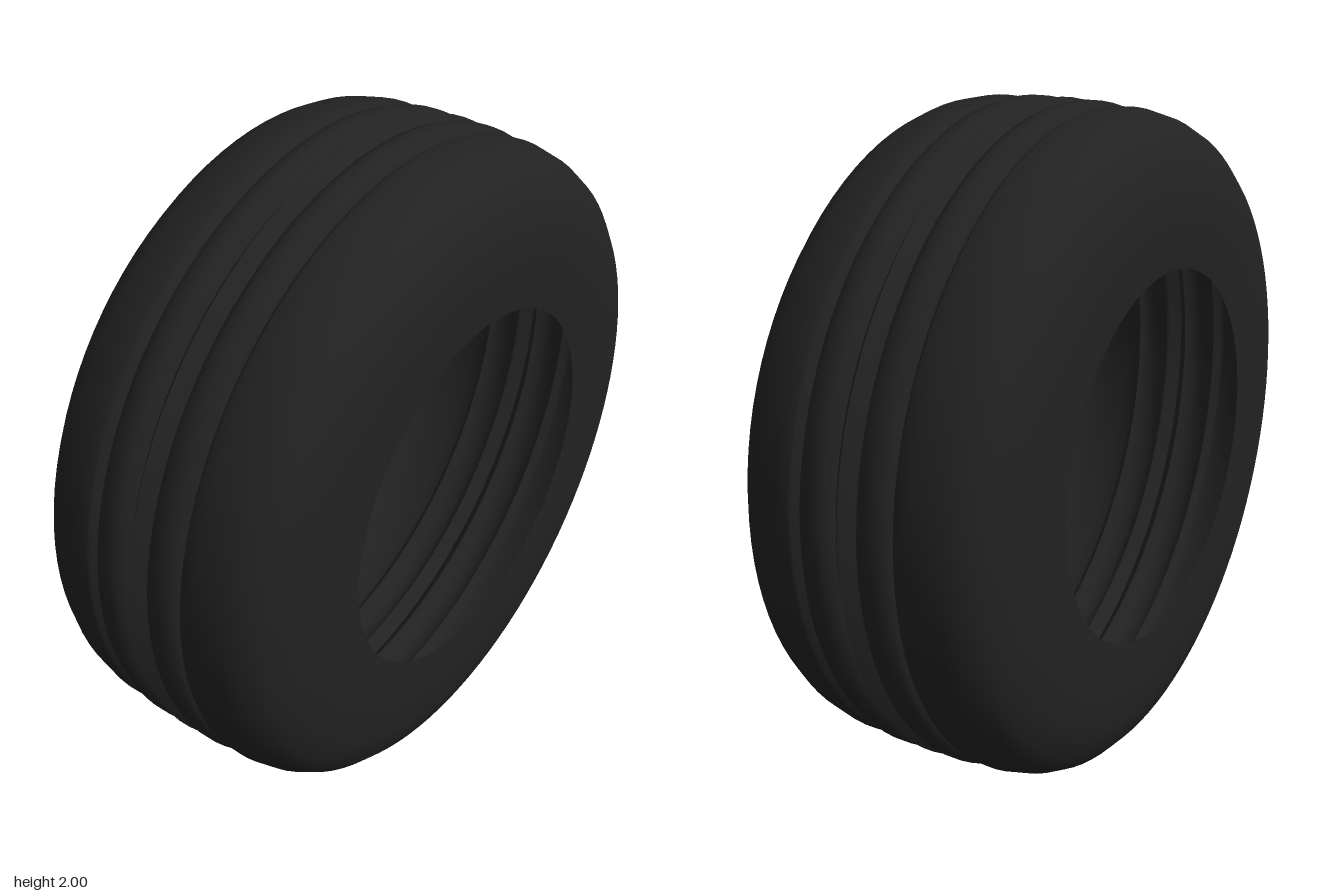
import * as THREE from 'three';

export function createModel() {
  const group = new THREE.Group();
  group.name = 'tire';

  const rubber = new THREE.MeshStandardMaterial({ color: 0x222222, side: THREE.DoubleSide });
  rubber.name = 'black rubber';

  // Half cross-sections as [distance from centre plane, radius]
  const sidewall = [
    [0.41, 0.555], [0.412, 0.6], [0.41, 0.7], [0.4, 0.82], [0.37, 0.905],
    [0.33, 0.95], [0.28, 0.975], [0.21, 0.99], [0.17, 0.988], [0.16, 0.983], [0.143, 0.96],
  ];
  const rib = [
    [0.143, 0.96], [0.138, 0.975], [0.125, 0.99], [0.1, 0.998], [0.075, 0.998],
    [0.053, 0.99], [0.04, 0.97], [0.035, 0.958],
  ];
  const centreRidge = [[0.035, 0.958], [0.026, 0.963], [0.022, 0.975], [0, 1]];

  // Revolves an open profile about the axle (x)
  function ring(name, profile) {
    const points = profile.map(([x, r]) => new THREE.Vector2(r, x));
    const geometry = new THREE.LatheGeometry(points, 96);
    geometry.rotateZ(-Math.PI / 2);
    const mesh = new THREE.Mesh(geometry, rubber);
    mesh.name = name;
    mesh.position.y = 1;
    group.add(mesh);
  }

  // Profiles run from -x to +x so that the surface faces outwards
  const parts = { Sidewall: sidewall, TreadRib: rib, CentreRidge: centreRidge };
  for (const [name, profile] of Object.entries(parts)) {
    ring('left' + name, [...profile].reverse());
    ring('right' + name, profile.map(([x, r]) => [-x, r]));
  }

  return group;
}
